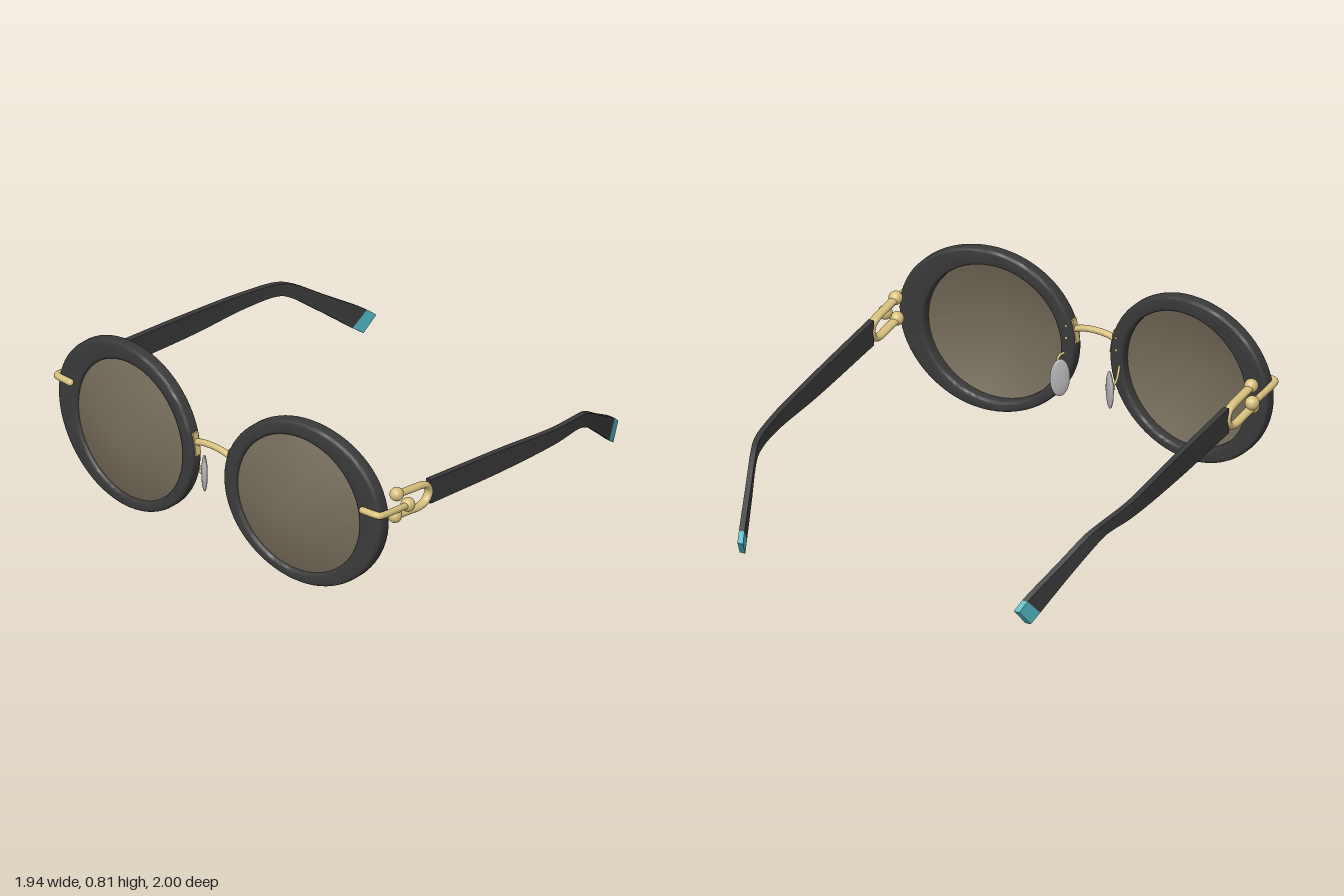
import * as THREE from 'three';
import { toCreasedNormals } from 'three/addons/utils/BufferGeometryUtils.js';

const mat = (name, color) => {
  const m = new THREE.MeshStandardMaterial({ color });
  m.name = name;
  return m;
};
const V = (x, y, z) => new THREE.Vector3(x, y, z);
const spline = (pts) => new THREE.CatmullRomCurve3(pts.map((p) => V(...p)));
const ball = (r, x, y, z) => new THREE.SphereGeometry(r, 20, 14).translate(x, y, z);

// mirrored copy across x = 0, with the corner order turned round
function mirror(geo) {
  const g = geo.clone().scale(-1, 1, 1);
  if (!g.index) g.setIndex([...Array(g.attributes.position.count).keys()]);
  const a = g.index.array;
  for (let i = 0; i < a.length; i += 3) [a[i + 1], a[i + 2]] = [a[i + 2], a[i + 1]];
  return g;
}

// leans a flat front part along the face curve: outer side goes back, lower side forward
function lean(geo) {
  const a = 0.09, b = 0.035;
  return geo.applyMatrix4(new THREE.Matrix4().set(
    1, 0, 0, 0,
    0, 1, 0, 0,
    -a, -b, 1, 0.87 + a * 0.515 + b * 0.418,
    0, 0, 0, 1));
}

// thick rounded rim with a circular opening
function rimGeometry() {
  const pts = [];
  for (let i = 0; i < 72; i++) {
    const t = (i / 72) * Math.PI * 2, c = Math.cos(t), s = Math.sin(t);
    pts.push(new THREE.Vector2(0.515 + 0.425 * c + 0.02 * s * Math.max(c, 0), 0.418 + 0.397 * s));
  }
  const shape = new THREE.Shape(pts);
  shape.holes.push(new THREE.Path().absarc(0.49, 0.407, 0.332, 0, Math.PI * 2, true));
  const bevel = 0.014, depth = 0.066;
  const g = new THREE.ExtrudeGeometry(shape, {
    depth: depth - 2 * bevel, curveSegments: 64, bevelThickness: bevel,
    bevelSize: bevel, bevelOffset: -bevel, bevelSegments: 3,
  });
  g.translate(0, 0, bevel - depth / 2);
  return toCreasedNormals(lean(g), 0.6);
}

// shallow pointed lens
function lensGeometry() {
  const g = new THREE.CircleGeometry(0.334, 64);
  g.attributes.position.setZ(0, 0.112);
  g.computeVertexNormals();
  return lean(g.translate(0.49, 0.407, 0.016));
}

// upper and lower edges of the arm, front to back
const armTop = spline([[0.905, 0.515, 0.5], [0.905, 0.45, 0], [0.903, 0.397, -0.35], [0.878, 0.368, -0.55],
  [0.855, 0.342, -0.62], [0.795, 0.242, -0.77], [0.722, 0.119, -0.952], [0.705, 0.08, -0.995]]);
const armBottom = spline([[0.905, 0.395, 0.5], [0.905, 0.345, 0], [0.903, 0.325, -0.35], [0.88, 0.312, -0.53],
  [0.868, 0.288, -0.59], [0.805, 0.165, -0.745], [0.748, 0.045, -0.885], [0.728, 0.004, -0.935]]);

function armGeometry(t0, t1, steps) {
  const g = new THREE.BoxGeometry(0.028, 1, 1, 1, 1, steps);
  const p = g.attributes.position;
  for (let i = 0; i < p.count; i++) {
    const t = t0 + (0.5 - p.getZ(i)) * (t1 - t0);
    const q = armBottom.getPoint(t).lerp(armTop.getPoint(t), p.getY(i) + 0.5);
    p.setXYZ(i, q.x + p.getX(i), q.y, q.z);
  }
  return toCreasedNormals(g, 0.6);
}

// horseshoe link, flattened band that is wider across x
function horseshoeGeometry() {
  const path = spline([[0, 0.533, 0.715], [0, 0.52, 0.63], [0, 0.507, 0.55], [0, 0.493, 0.515], [0, 0.459, 0.499],
    [0, 0.421, 0.518], [0, 0.406, 0.56], [0, 0.417, 0.65], [0, 0.428, 0.73]]);
  return new THREE.TubeGeometry(path, 48, 0.0155, 12).scale(1.4, 1, 1).translate(0.907, 0, 0);
}

export function createModel() {
  const model = new THREE.Group();
  model.name = 'sunglasses';
  const black = mat('black acetate', 0x3a3a3a);
  const lensTint = mat('brown lens', 0x746b59);
  lensTint.side = THREE.DoubleSide;
  const gold = mat('gold metal', 0xd6bf7c);
  const teal = mat('teal tip', 0x4fb3c0);
  const grey = mat('clear grey pad', 0xb4b4b6);

  const add = (name, geo, material) => {
    const mesh = new THREE.Mesh(geo, material);
    mesh.name = name;
    model.add(mesh);
  };
  const pair = (name, geo, material) => {
    add('left ' + name, geo, material);
    add('right ' + name, mirror(geo), material);
  };

  // front
  pair('rim', rimGeometry(), black);
  pair('lens', lensGeometry(), lensTint);
  add('bridge', new THREE.TubeGeometry(
    spline([[-0.11, 0.497, 0.903], [-0.06, 0.511, 0.903], [0, 0.516, 0.903], [0.06, 0.511, 0.903], [0.11, 0.497, 0.903]]),
    32, 0.015, 12), gold);
  pair('bridge plate', new THREE.BoxGeometry(0.012, 0.11, 0.032).rotateZ(-0.17).translate(0.099, 0.49, 0.903), gold);
  for (const y of [0.46, 0.52]) pair('bridge rivet', ball(0.007, 0.127, y, 0.872), gold);

  // nose pads
  pair('nose pad', new THREE.SphereGeometry(1, 24, 16).scale(0.014, 0.09, 0.046)
    .rotateY(-Math.PI / 4).translate(0.127, 0.29, 0.815), grey);
  pair('nose pad wire', new THREE.TubeGeometry(
    spline([[0.135, 0.385, 0.885], [0.152, 0.375, 0.85], [0.15, 0.33, 0.83], [0.13, 0.3, 0.818]]), 20, 0.006, 8), gold);
  pair('nose pad screw', ball(0.013, 0.136, 0.3, 0.822), gold);

  // hinge: peg wrapping the rim, horseshoe link and joint balls
  pair('hinge bar', new THREE.TubeGeometry(
    spline([[0.852, 0.505, 0.882], [0.915, 0.505, 0.877], [0.939, 0.503, 0.868], [0.944, 0.499, 0.84], [0.942, 0.476, 0.67]]),
    40, 0.016, 12), gold);
  pair('hinge bar end', ball(0.016, 0.852, 0.505, 0.882), gold);
  pair('horseshoe link', horseshoeGeometry(), gold);
  pair('outer joint ball', ball(0.033, 0.936, 0.475, 0.673), gold);
  pair('upper joint ball', ball(0.032, 0.907, 0.535, 0.715), gold);
  pair('lower joint ball', ball(0.032, 0.907, 0.43, 0.727), gold);

  // arms with coloured tips
  pair('arm', armGeometry(0, 6 / 7, 48), black);
  pair('arm tip', armGeometry(6 / 7, 1, 4), teal);
  return model;
}
